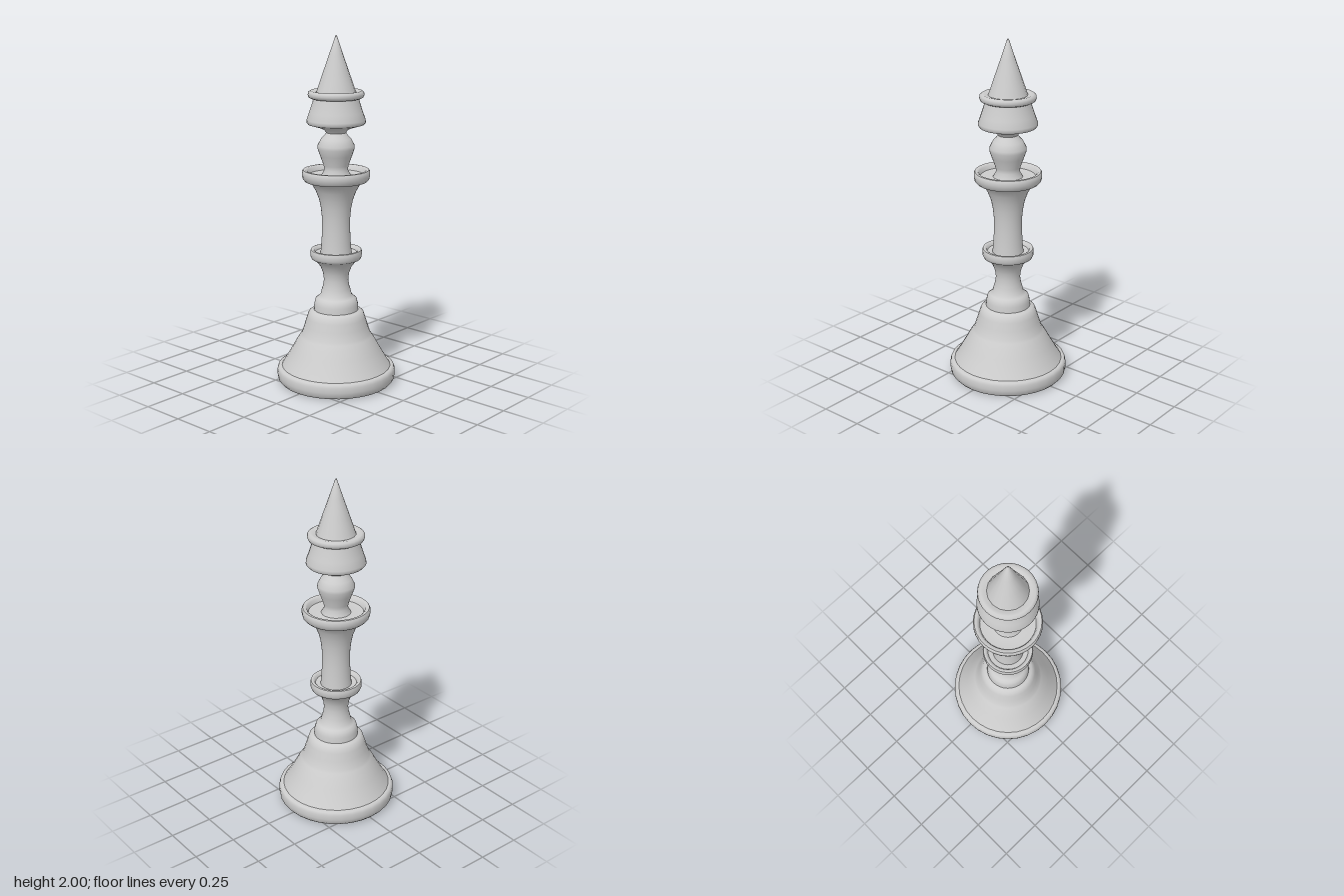
import * as THREE from 'three';
import { toCreasedNormals } from 'three/addons/utils/BufferGeometryUtils.js';

// Each turned part: [radius, height] pairs from bottom to top
const parts = {
  foot: [[0, 0.01], [0.3, 0.005], [0.325, 0.01], [0.338, 0.025], [0.342, 0.05], [0.342, 0.078],
    [0.336, 0.095], [0.325, 0.1], [0.3, 0.1]],
  bell: [[0.315, 0.095], [0.29, 0.135], [0.255, 0.195], [0.225, 0.25], [0.208, 0.275], [0.198, 0.29],
    [0.182, 0.34], [0.168, 0.385], [0.158, 0.415], [0.145, 0.425], [0.128, 0.432],
    [0.126, 0.465], [0.118, 0.495], [0.105, 0.505], [0.09, 0.52], [0.08, 0.56]],
  waist: [[0.09, 0.52], [0.076, 0.57], [0.07, 0.61], [0.075, 0.65], [0.09, 0.69], [0.115, 0.72], [0.138, 0.735]],
  lowerCollar: [[0.125, 0.73], [0.14, 0.735], [0.147, 0.75], [0.148, 0.775], [0.144, 0.788],
    [0.135, 0.79], [0.125, 0.785], [0.118, 0.77], [0.07, 0.765]],
  column: [[0.09, 0.76], [0.084, 0.82], [0.08, 0.9], [0.08, 0.97], [0.086, 1.03], [0.096, 1.08],
    [0.115, 1.13], [0.138, 1.17], [0.165, 1.19]],
  upperCollar: [[0.145, 1.182], [0.175, 1.185], [0.187, 1.198], [0.192, 1.22], [0.192, 1.24], [0.186, 1.25],
    [0.172, 1.25], [0.163, 1.243], [0.155, 1.22], [0.1, 1.215], [0.05, 1.225]],
  bulb: [[0.085, 1.215], [0.066, 1.25], [0.07, 1.275], [0.09, 1.33], [0.104, 1.37], [0.104, 1.388],
    [0.085, 1.425], [0.066, 1.445], [0.056, 1.46], [0.062, 1.475]],
  head: [[0.056, 1.46], [0.066, 1.475], [0.09, 1.488], [0.135, 1.501], [0.158, 1.508], [0.166, 1.518],
    [0.165, 1.533], [0.15, 1.575], [0.132, 1.63], [0.122, 1.67]],
  crownRing: [[0.118, 1.652], [0.14, 1.652], [0.152, 1.658], [0.158, 1.672], [0.155, 1.687],
    [0.143, 1.695], [0.125, 1.692], [0.1, 1.685]],
  spire: [[0.113, 1.68], [0.104, 1.705], [0.075, 1.79], [0.04, 1.89], [0.005, 1.993], [0, 2]],
};

export function createModel() {
  const group = new THREE.Group();
  group.name = 'chessPiece';
  const grey = new THREE.MeshStandardMaterial({ color: 0xcccccc, side: THREE.DoubleSide });
  grey.name = 'light grey';

  for (const [name, profile] of Object.entries(parts)) {
    const points = profile.map(([r, y]) => new THREE.Vector2(r, y));
    const lathe = new THREE.LatheGeometry(points, name === 'spire' ? 16 : 32);
    const mesh = new THREE.Mesh(toCreasedNormals(lathe, 0.95), grey);
    mesh.name = name;
    group.add(mesh);
  }
  // Settle the underside on the ground
  group.children[0].geometry.translate(0, -0.005, 0);
  return group;
}
